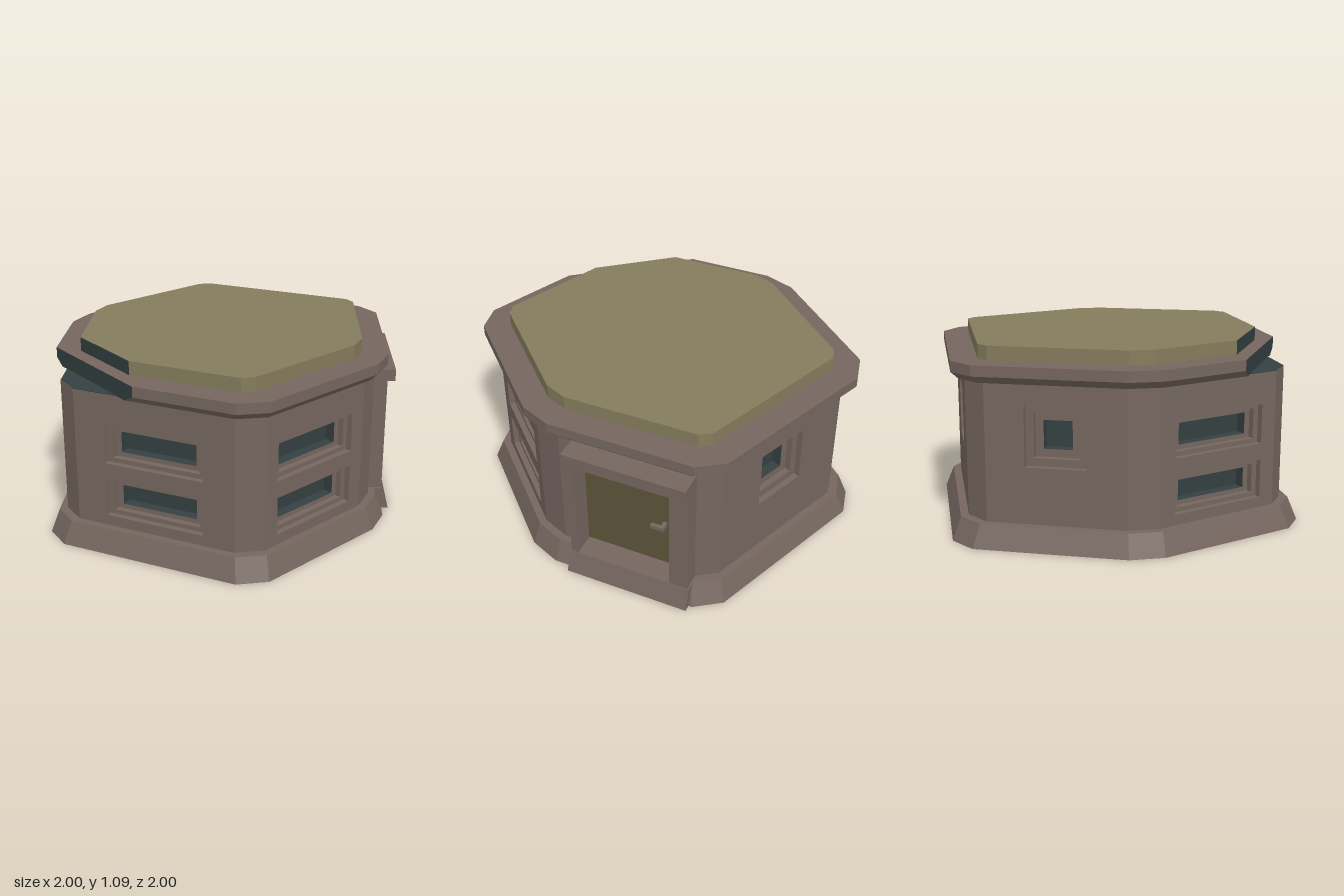
import * as THREE from 'three';

const brown = new THREE.MeshStandardMaterial({ color: 0x75665f, name: 'brown concrete' });
const olive = new THREE.MeshStandardMaterial({ color: 0x847c5c, name: 'olive roof' });
const slate = new THREE.MeshStandardMaterial({ color: 0x344041, name: 'dark slate' });
const doorOlive = new THREE.MeshStandardMaterial({ color: 0x5c553a, name: 'door olive' });

// Hexagonal plan with chamfered corners, counter-clockwise seen from above.
// The last two points are the corner that the roof loses.
const plan = (s, a = [0.53, 1], b = [0.68, 0.9], c = [1, 0.1]) => [
  a, b, c, [c[0], -c[1]], [b[0], -b[1]], [a[0], -a[1]],
  [-a[0], -a[1]], [-b[0], -b[1]], [-c[0], -c[1]], [-c[0], c[1]], [-b[0], b[1]], [-a[0], a[1]],
].map(([x, z]) => [x * s, z * s]);

// Replace the last two points with the crossings of the line z = 0.555 x + k
function cutCorner(pts, k) {
  const cross = ([x1, z1], [x2, z2]) => {
    const f1 = z1 - 0.555 * x1 - k, f2 = z2 - 0.555 * x2 - k, t = f1 / (f1 - f2);
    return [x1 + (x2 - x1) * t, z1 + (z2 - z1) * t];
  };
  return [...pts.slice(0, 10), cross(pts[9], pts[10]), cross(pts[11], pts[0])];
}

// Stack outlines at given heights into a capped solid; edge 10 may be the cut face
function loft(name, levels, material, cutMaterial = material) {
  const body = [], cut = [];
  const n = levels[0].pts.length;
  const at = (l, i) => [l.pts[i % n][0], l.y, l.pts[i % n][1]];
  for (let k = 0; k < levels.length - 1; k++) {
    const lo = levels[k], hi = levels[k + 1];
    for (let i = 0; i < n; i++) {
      const [a, b, c, d] = [at(lo, i), at(lo, i + 1), at(hi, i + 1), at(hi, i)];
      (i === 10 ? cut : body).push(...a, ...b, ...c, ...a, ...c, ...d);
    }
  }
  const bottom = levels[0], top = levels[levels.length - 1];
  for (let i = 1; i < n - 1; i++) {
    body.push(...at(top, 0), ...at(top, i), ...at(top, i + 1));
    body.push(...at(bottom, 0), ...at(bottom, i + 1), ...at(bottom, i));
  }
  const g = new THREE.BufferGeometry();
  g.setAttribute('position', new THREE.Float32BufferAttribute([...body, ...cut], 3));
  g.addGroup(0, body.length / 3, 0);
  g.addGroup(body.length / 3, cut.length / 3, 1);
  g.computeVertexNormals();
  const mesh = new THREE.Mesh(g, [material, cutMaterial]);
  mesh.name = name;
  return mesh;
}

const rect = (x0, x1, y0, y1, Type = THREE.Shape) => new Type([
  [x0, y0], [x1, y0], [x1, y1], [x0, y1]].map(p => new THREE.Vector2(...p)));

// Plate with rectangular holes whose front lies at z = front
function plate(name, outer, holes, front, depth, material) {
  const s = rect(...outer);
  holes.forEach(h => s.holes.push(rect(...h, THREE.Path)));
  const mesh = new THREE.Mesh(new THREE.ExtrudeGeometry(s, { depth, bevelEnabled: false }), material);
  mesh.position.z = front - depth;
  mesh.name = name;
  return mesh;
}

function block(name, x0, x1, y0, y1, z0, z1, material = brown) {
  const mesh = new THREE.Mesh(new THREE.BoxGeometry(x1 - x0, y1 - y0, z1 - z0), material);
  mesh.position.set((x0 + x1) / 2, (y0 + y1) / 2, (z0 + z1) / 2);
  mesh.name = name;
  return mesh;
}

const STEP = 0.035, REVEAL = 0.06;

// Stepped recess behind an opening, ending in dark glass
function recess([x0, x1, y0, y1], sx, sy) {
  const g = new THREE.Group();
  g.name = 'window';
  const inset = k => [x0 + sx * k, x1 - sx * k, y0 + sy * k, y1 - sy * k];
  g.add(plate('outerStep', inset(0), [inset(1)], -STEP, STEP, brown));
  g.add(plate('innerStep', inset(0), [inset(2)], -2 * STEP, REVEAL, [brown, slate]));
  g.add(plate('glass', inset(1), [], -2 * STEP - REVEAL, 0.008, slate));
  return g;
}

// Door with jambs, lintel, sill and handle, in the frame of its wall
function doorway([x0, x1, y0, y1]) {
  const g = new THREE.Group();
  g.name = 'doorway';
  const left = -0.305, right = 0.414;
  g.add(block('leftJamb', left, x0, y0, y1, -0.06, 0.087));
  g.add(block('rightJamb', x1, right, y0, y1, -0.06, 0.087));
  g.add(block('lintel', left, right, y1, 0.88, -0.06, 0.132));
  g.add(block('door', x0, x1, y0 + 0.004, y1, -0.07, -0.045, doorOlive));
  g.add(block('handle', 0.155, 0.235, 0.42, 0.444, -0.012, 0.01));
  g.add(block('handleStem', 0.212, 0.235, 0.42, 0.444, -0.05, -0.01));
  // sill flares outwards towards the ground
  const sill = block('doorSill', left - 0.01, right + 0.01, 0, 0.13, -0.06, 0.09);
  const p = sill.geometry.attributes.position;
  for (let i = 0; i < p.count; i++) if (p.getY(i) < 0 && p.getZ(i) > 0) p.setZ(i, p.getZ(i) + 0.042);
  sill.geometry = sill.geometry.toNonIndexed();
  sill.geometry.computeVertexNormals();
  g.add(sill);
  return g;
}

export function createModel() {
  const model = new THREE.Group();
  model.name = 'bunker';

  // Flared base
  model.add(loft('base', [{ y: 0, pts: plan(1) }, { y: 0.13, pts: plan(0.95) }], brown));

  // Walls, one panel for each side of the plan
  const slots = [[-0.295, 0.295, 0.19, 0.41], [-0.295, 0.295, 0.505, 0.73]];
  const square = [[-0.17, 0.17, 0.45, 0.79]];
  const doorHole = [-0.262, 0.304, 0.13, 0.81];
  const openings = { 1: slots, 9: slots, 11: slots, 5: square, 7: square, 3: [doorHole] };
  const walls = plan(0.905);
  walls.forEach(([x1, z1], i) => {
    const [x2, z2] = walls[(i + 1) % 12];
    const half = Math.hypot(x2 - x1, z2 - z1) / 2;
    const side = new THREE.Group();
    side.name = 'wallSide';
    side.position.set((x1 + x2) / 2, 0, (z1 + z2) / 2);
    side.rotation.y = Math.atan2(z1 - z2, x2 - x1);
    const holes = openings[i] || [];
    side.add(plate('wall', [-half, half, 0.1, 0.91], holes, 0, STEP, brown));
    if (i === 3) side.add(doorway(doorHole));
    else holes.forEach(h => side.add(holes === slots ? recess(h, 0.034, 0.026) : recess(h, 0.045, 0.045)));
    model.add(side);
  });

  // Dark surface on top of the walls, bared at the broken corner
  model.add(loft('wallTop', [{ y: 0.906, pts: plan(0.9) }, { y: 0.913, pts: plan(0.904) }], slate));

  // Overhanging roof slab and raised roof, both missing one corner
  const eave = s => cutCorner(plan(s), 1.018);
  model.add(loft('roofSlab', [
    { y: 0.91, pts: eave(0.94) }, { y: 0.95, pts: eave(0.98) }, { y: 1.01, pts: eave(0.98) },
  ], brown, slate));
  const raised = cutCorner(plan(1, [0.48, 0.83], [0.54, 0.785], [0.83, 0.07]), 0.924);
  model.add(loft('raisedRoof', [{ y: 1.01, pts: raised }, { y: 1.09, pts: raised }], olive, slate));

  return model;
}
